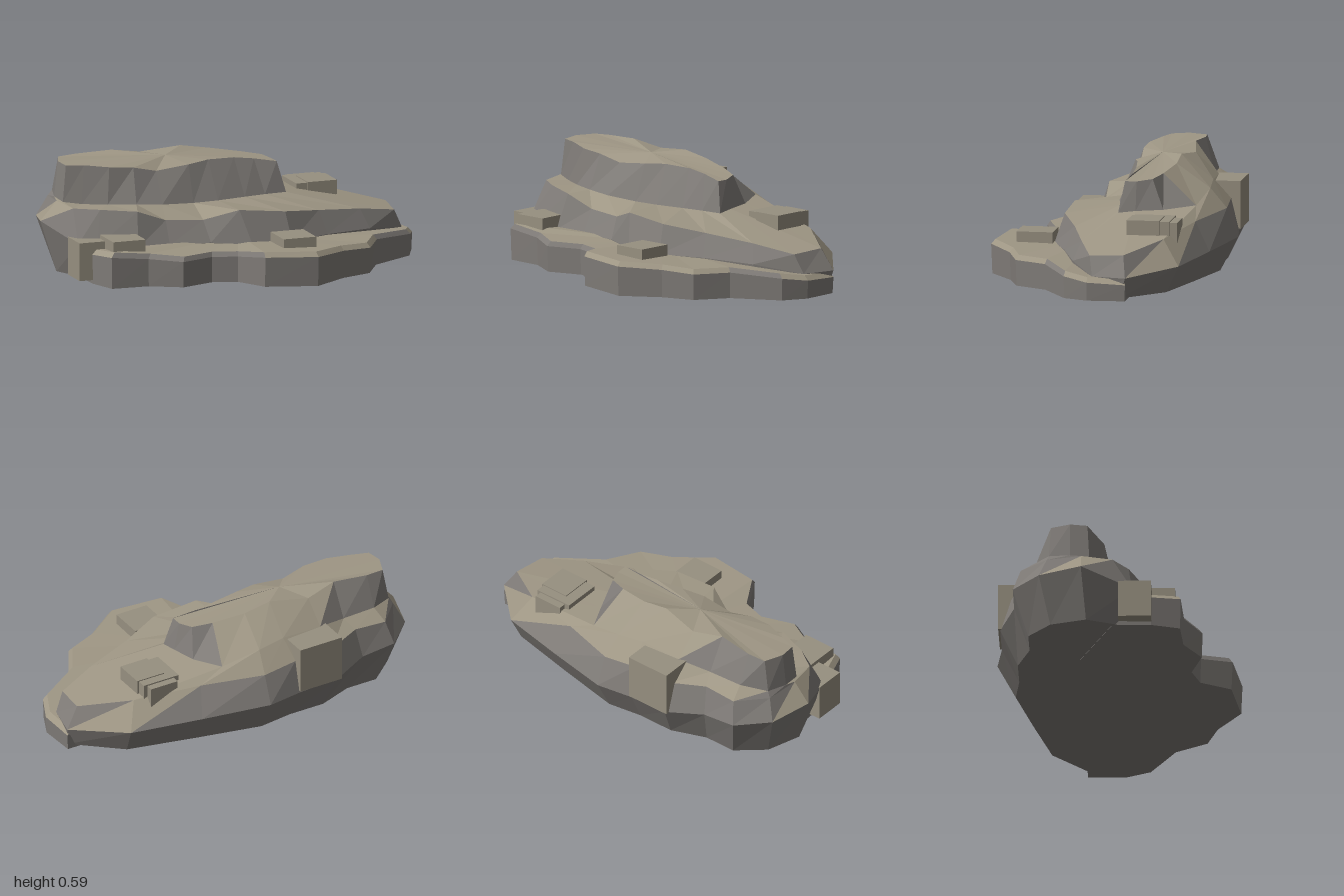
import * as THREE from 'three';

const stone = new THREE.MeshStandardMaterial({ color: 0x807c78 });
stone.name = 'grey cliff stone';
const ground = new THREE.MeshStandardMaterial({ color: 0x9e9684 });
ground.name = 'tan ledge top';
const slab = new THREE.MeshStandardMaterial({ color: 0x979080 });
slab.name = 'tan slab';

// Flat-faced skin over stacked rings, closed at both ends by a centre point.
// Faces that look up get the tan colour, steep ones the grey.
function rockLoft(name, rings, bottom, top) {
  const steep = [], level = [];
  const face = (a, b, c) => {
    const [A, B, C] = [a, b, c].map((p) => new THREE.Vector3(...p));
    const n = B.clone().sub(A).cross(C.clone().sub(A)).normalize();
    (n.y > 0.62 ? level : steep).push(...a, ...b, ...c);
  };
  const count = rings[0].length;
  for (let i = 0; i < count; i++) {
    const j = (i + 1) % count;
    for (let r = 0; r + 1 < rings.length; r++) {
      const low = rings[r], high = rings[r + 1];
      face(low[i], high[i], low[j]);
      face(low[j], high[i], high[j]);
    }
    const last = rings[rings.length - 1];
    face(rings[0][j], bottom, rings[0][i]);
    face(last[i], top, last[j]);
  }
  const geometry = new THREE.BufferGeometry();
  geometry.setAttribute('position', new THREE.Float32BufferAttribute([...steep, ...level], 3));
  geometry.addGroup(0, steep.length / 3, 0);
  geometry.addGroup(steep.length / 3, level.length / 3, 1);
  geometry.computeVertexNormals();
  const mesh = new THREE.Mesh(geometry, [stone, ground]);
  mesh.name = name;
  return mesh;
}

// Rings run from the right end round the front, the left end and the back.
const waist = [
  [0.99, 0.12, -0.2], [0.95, 0.12, -0.02], [0.72, 0.16, 0.12], [0.45, 0.17, 0.21],
  [0.22, 0.17, 0.3], [0, 0.17, 0.3], [-0.2, 0.18, 0.22], [-0.42, 0.18, 0.2],
  [-0.6, 0.18, 0.21], [-0.8, 0.19, 0.14], [-0.89, 0.2, 0.1], [-1, 0.28, -0.16],
  [-0.94, 0.26, -0.38], [-0.79, 0.25, -0.52], [-0.6, 0.23, -0.52], [-0.4, 0.2, -0.6],
  [-0.18, 0.19, -0.6], [0.02, 0.19, -0.63], [0.38, 0.17, -0.54], [0.75, 0.15, -0.44],
];
const shelfRim = [
  [0.92, 0.23, -0.18], [0.9, 0.22, 0], [0.68, 0.26, 0.08], [0.42, 0.29, 0.16],
  [0.2, 0.32, 0.25], [-0.05, 0.345, 0.24], [-0.22, 0.29, 0.16], [-0.42, 0.3, 0.14],
  [-0.58, 0.36, 0.15], [-0.76, 0.37, 0.08], [-0.88, 0.37, 0], [-0.91, 0.38, -0.16],
  [-0.89, 0.37, -0.34], [-0.76, 0.37, -0.48], [-0.58, 0.38, -0.48], [-0.4, 0.36, -0.55],
  [-0.17, 0.36, -0.56], [0.02, 0.34, -0.57], [0.34, 0.32, -0.46], [0.68, 0.28, -0.35],
];
const cliffFoot = [
  [0.31, 0.36, -0.14], [0.32, 0.35, -0.05], [0.2, 0.35, -0.04], [0.08, 0.35, -0.02],
  [-0.08, 0.35, 0.01], [-0.22, 0.35, 0.02], [-0.4, 0.36, 0.04], [-0.54, 0.37, 0.03],
  [-0.68, 0.37, -0.02], [-0.8, 0.37, -0.08], [-0.89, 0.38, -0.12], [-0.9, 0.39, -0.22],
  [-0.87, 0.4, -0.33], [-0.74, 0.42, -0.4], [-0.55, 0.42, -0.41], [-0.38, 0.45, -0.46],
  [-0.15, 0.46, -0.47], [0, 0.44, -0.48], [0.2, 0.38, -0.44], [0.28, 0.365, -0.28],
];
const cliffTop = [
  [0.28, 0.51, -0.14], [0.28, 0.51, -0.08], [0.16, 0.53, -0.1], [0.05, 0.545, -0.1],
  [-0.1, 0.55, -0.08], [-0.22, 0.54, -0.05], [-0.4, 0.52, -0.05], [-0.53, 0.55, -0.04],
  [-0.66, 0.56, -0.05], [-0.78, 0.57, -0.1], [-0.87, 0.57, -0.13], [-0.88, 0.575, -0.22],
  [-0.84, 0.575, -0.32], [-0.74, 0.58, -0.33], [-0.55, 0.59, -0.31], [-0.38, 0.56, -0.34],
  [-0.17, 0.585, -0.3], [-0.02, 0.56, -0.3], [0.15, 0.535, -0.26], [0.25, 0.52, -0.22],
];

// Low front ledge: [x, z, height], its back hidden inside the main rock
const ledge = [
  [0.99, -0.2, 0.11], [1, 0, 0.12], [0.94, 0.13, 0.14], [0.7, 0.27, 0.16],
  [0.6, 0.44, 0.16], [0.43, 0.5, 0.17], [0.24, 0.63, 0.18], [-0.04, 0.59, 0.19],
  [-0.13, 0.43, 0.17], [-0.26, 0.39, 0.17], [-0.44, 0.45, 0.17], [-0.6, 0.36, 0.18],
  [-0.8, 0.35, 0.2], [-0.85, 0.2, 0.19], [-0.86, 0, 0.18], [-0.4, -0.2, 0.17], [0.5, -0.2, 0.16],
];

// Loose slabs: name, then [min, max] along x, y and z
const slabs = [
  ['frontSlab', [0.1, 0.28], [0.12, 0.23], [0.3, 0.49]],
  ['leftLedgeSlab', [-0.78, -0.6], [0.14, 0.25], [0.13, 0.32]],
  ['leftCornerSlab', [-0.92, -0.75], [0.03, 0.23], [0.03, 0.2]],
  ['rightSlab', [0.42, 0.63], [0.28, 0.362], [-0.37, -0.16]],
  ['rightSlabOuter', [0.48, 0.64], [0.29, 0.367], [-0.32, -0.15]],
  ['rightSlabBack', [0.45, 0.61], [0.25, 0.355], [-0.41, -0.25]],
  ['backSlab', [-0.42, -0.17], [0.2, 0.45], [-0.61, -0.43]],
];

export function createModel() {
  const group = new THREE.Group();
  group.name = 'steppedRock';

  // Main rock, undercut at the left and back
  const base = waist.map(([x, , z]) => [x * (x < 0 ? 0.92 : 0.98), 0.012, z * (z < 0 ? 0.85 : 0.97)]);
  group.add(rockLoft('mainRock', [base, waist, shelfRim, cliffFoot, cliffTop],
    [0, 0.012, 0], [-0.3, 0.57, -0.18]));

  // Front ledge with a narrow bevelled lip
  const ledgeBase = ledge.map(([x, z]) => [x * 0.995, x < 0 ? 0.01 : 0, z * 0.99]);
  const ledgeEdge = ledge.map(([x, z, h]) => [x, h - 0.025, z]);
  const ledgeTop = ledge.map(([x, z, h]) => [x * 0.975, h, z * 0.965]);
  group.add(rockLoft('frontLedge', [ledgeBase, ledgeEdge, ledgeTop], [0, 0.005, 0.1], [0, 0.18, 0.1]));

  // Loose slabs
  for (const [name, ...spans] of slabs) {
    const mesh = new THREE.Mesh(new THREE.BoxGeometry(...spans.map(([a, b]) => b - a)), slab);
    mesh.position.set(...spans.map(([a, b]) => (a + b) / 2));
    mesh.name = name;
    group.add(mesh);
  }
  return group;
}
